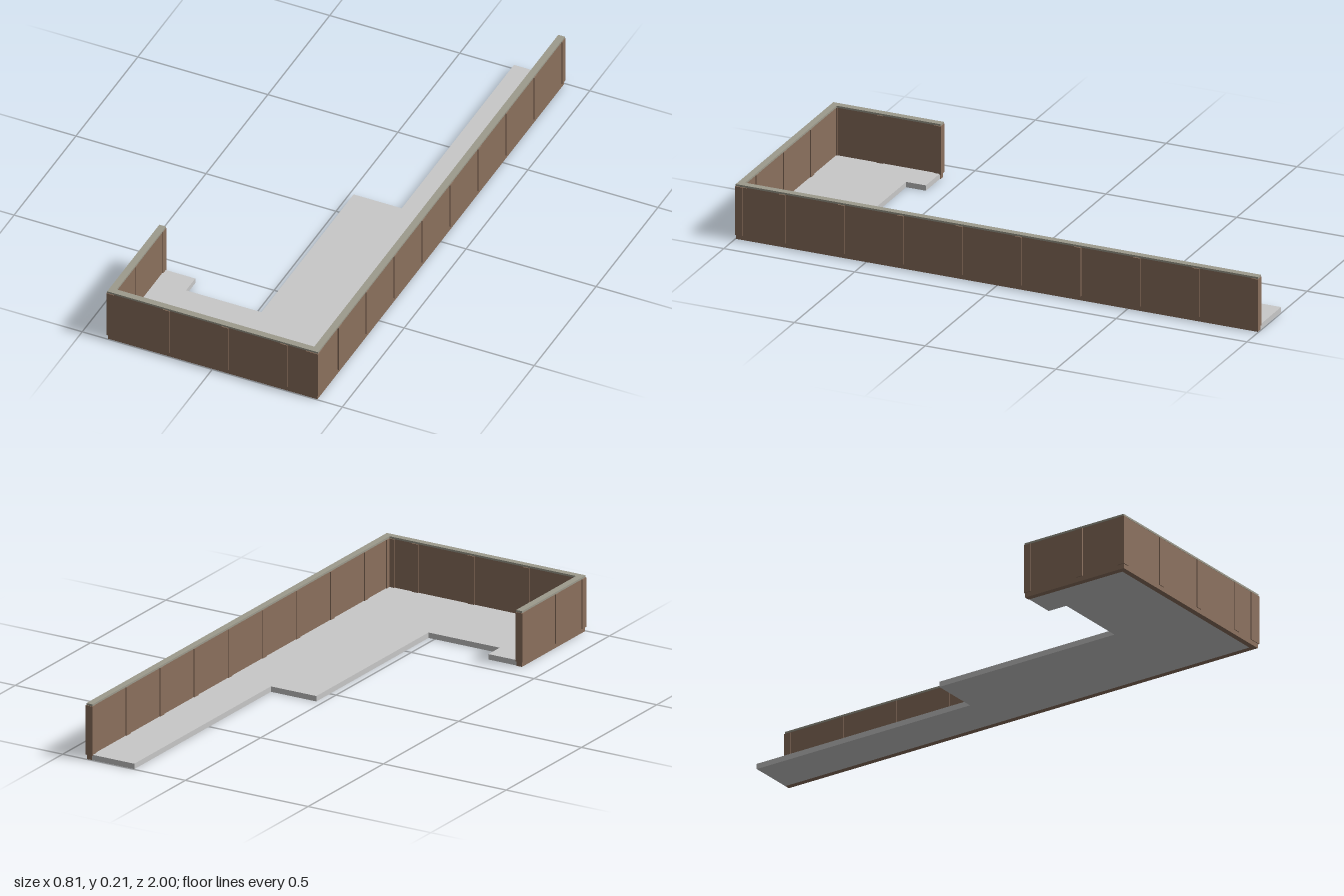
import * as THREE from 'three';

export function createModel() {
  const model = new THREE.Group();
  const material = (name, color) => {
    const m = new THREE.MeshStandardMaterial({ color });
    m.name = name;
    return m;
  };
  const brown = material('brown panel', 0x8b705d);
  const grey = material('floor grey', 0xc8c8c8);
  const capGrey = material('cap grey', 0x9d9b8d);

  // Box given by its min and max corners
  function box(name, mat, x0, x1, y0, y1, z0, z1) {
    const mesh = new THREE.Mesh(new THREE.BoxGeometry(x1 - x0, y1 - y0, z1 - z0), mat);
    mesh.position.set((x0 + x1) / 2, (y0 + y1) / 2, (z0 + z1) / 2);
    mesh.name = name;
    model.add(mesh);
  }

  // Stepped floor slab, outlined in x and z
  const outline = [
    [-0.382, 0.58], [-0.265, 0.58], [-0.265, 0.655], [0.025, 0.655], [0.025, -0.09],
    [0.21, -0.09], [0.21, -0.997], [0.382, -0.997], [0.382, 0.976], [-0.382, 0.976],
  ];
  const shape = new THREE.Shape(outline.map(([x, z]) => new THREE.Vector2(x, -z)));
  const slab = new THREE.ExtrudeGeometry(shape, { depth: 0.02, bevelEnabled: false });
  slab.rotateX(-Math.PI / 2);
  const floor = new THREE.Mesh(slab, grey);
  floor.name = 'floor';
  model.add(floor);

  // Walls
  const H = 0.2;
  box('longWall', brown, 0.382, 0.403, 0, H, -0.997, 0.997);
  box('shortWall', brown, -0.403, -0.382, 0, H, 0.577, 0.997);
  box('frontWall', brown, -0.382, 0.382, 0, H, 0.976, 0.997);

  // Caps along the wall tops
  const T = 0.207;
  box('longCap', capGrey, 0.38, 0.405, H, T, -0.998, 0.998);
  box('shortCap', capGrey, -0.405, -0.38, H, T, 0.576, 0.998);
  box('frontCap', capGrey, -0.38, 0.38, H, T, 0.974, 0.998);

  // Evenly spaced posts, standing proud of both wall faces
  const Y = 0.017, P = 0.199, R = 0.013, STEP = 0.226;
  const postX = (x, z) => box('post', brown, x - 0.0145, x + 0.0145, Y, P, z - R, z + R);
  for (let i = 0; i < 9; i++) postX(0.393, -0.987 + i * STEP);
  for (const z of [0.588, 0.81]) postX(-0.393, z);
  for (const x of [-0.177, 0.048, 0.275]) {
    box('post', brown, x - R, x + R, Y, P, 0.972, 1);
  }

  // Corner posts
  box('cornerPost', brown, 0.36, 0.4075, Y, P, 0.972, 1);
  box('cornerPost', brown, 0.3785, 0.407, Y, P, 0.955, 0.999);
  box('cornerPost', brown, -0.4075, -0.3785, Y, P, 0.972, 1);

  return model;
}
